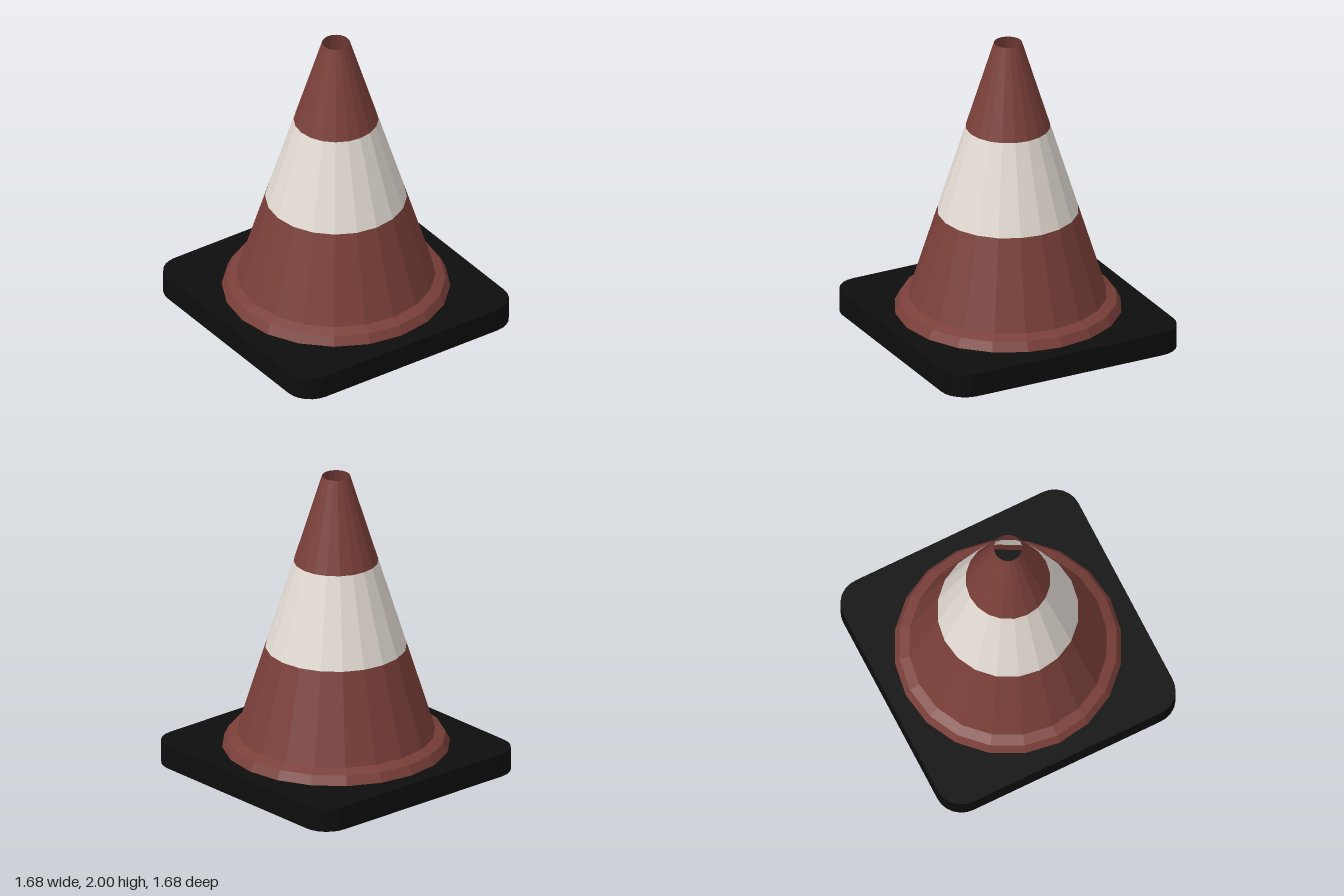
import * as THREE from 'three';

const SIDES = 20;
const RED = 0x7a3f39, WHITE = 0xe4dcd4, BLACK = 0x0d0d0d;

// Faceted ring of revolution from [radius, y] pairs, listed bottom to top
function ring(name, color, profile) {
  const points = profile.map(([r, y]) => new THREE.Vector2(r, y));
  const material = new THREE.MeshStandardMaterial({ color, flatShading: true, side: THREE.DoubleSide });
  const mesh = new THREE.Mesh(new THREE.LatheGeometry(points, SIDES), material);
  mesh.name = name;
  return mesh;
}

// Square slab with rounded corners
function basePlate(half, radius, height) {
  const c = half - radius;
  const shape = new THREE.Shape();
  [[c, c], [-c, c], [-c, -c], [c, -c]].forEach(([x, y], i) =>
    shape.absarc(x, y, radius, i * Math.PI / 2, (i + 1) * Math.PI / 2));
  shape.closePath();
  const geometry = new THREE.ExtrudeGeometry(shape, { depth: height, bevelEnabled: false, curveSegments: 3 });
  geometry.rotateX(-Math.PI / 2);
  const mesh = new THREE.Mesh(geometry, new THREE.MeshStandardMaterial({ color: BLACK, flatShading: true }));
  mesh.name = 'basePlate';
  return mesh;
}

export function createModel() {
  const group = new THREE.Group();
  group.name = 'trafficCone';
  group.add(
    basePlate(0.84, 0.17, 0.155),
    // Collar where the cone meets the base
    ring('collar', RED, [[0.73, 0.155], [0.7, 0.215], [0.635, 0.243]]),
    // Hollow cone, open at the tip, in three coloured bands
    ring('lowerCone', RED, [[0.635, 0.243], [0.453, 0.83]]),
    ring('reflectiveBand', WHITE, [[0.453, 0.83], [0.271, 1.415]]),
    ring('upperCone', RED, [[0.271, 1.415], [0.09, 2]]),
  );
  return group;
}
